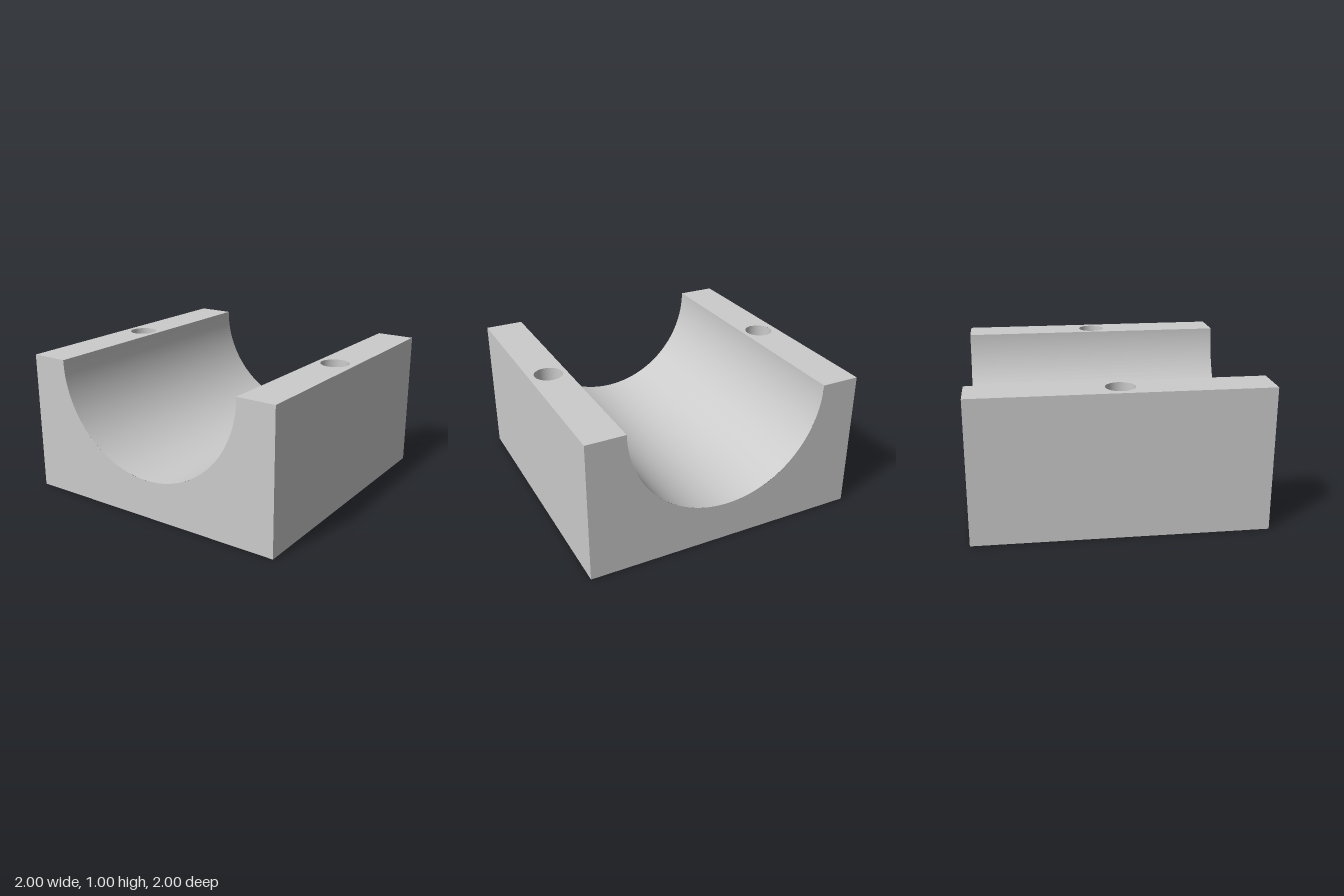
import * as THREE from 'three';

const R = 0.725;        // trough radius
const HOLE_X = 0.857;   // bolt hole offset
const HOLE_R = 0.1;
const H = 1;            // block height
const ARC = 64;

const material = new THREE.MeshStandardMaterial({ color: 0xcccccc });

// Rectangle in x/z with round holes at the given x positions
function plate(x0, x1, holes) {
  const s = new THREE.Shape();
  s.moveTo(x0, -1).lineTo(x1, -1).lineTo(x1, 1).lineTo(x0, 1).closePath();
  for (const x of holes) {
    s.holes.push(new THREE.Path().absarc(x, 0, HOLE_R, 0, Math.PI * 2, true));
  }
  return new THREE.ShapeGeometry(s, 48);
}

// Open cylinder wall facing its own axis
function innerWall(r, top, bottom, segments, start, sweep) {
  const profile = [new THREE.Vector2(r, top), new THREE.Vector2(r, bottom)];
  return new THREE.LatheGeometry(profile, segments, start, sweep);
}

export function createModel() {
  const model = new THREE.Group();
  model.name = 'bearingBlock';
  const add = (name, geometry) => {
    const mesh = new THREE.Mesh(geometry, material);
    mesh.name = name;
    model.add(mesh);
  };

  // End faces with the half-round cutout
  const end = new THREE.Shape();
  end.moveTo(-1, 0).lineTo(1, 0).lineTo(1, H).lineTo(R, H);
  end.absarc(0, H, R, 0, Math.PI, true);
  end.lineTo(-1, H).closePath();
  add('frontFace', new THREE.ShapeGeometry(end, ARC).translate(0, 0, 1));
  add('backFace', new THREE.ShapeGeometry(end, ARC).rotateY(Math.PI).translate(0, 0, -1));

  // Half-round trough along z
  add('trough', innerWall(R, 1, -1, ARC, -Math.PI / 2, Math.PI)
    .rotateX(Math.PI / 2).translate(0, H, 0));

  // Underside with both bolt holes
  add('underside', plate(-1, 1, [-HOLE_X, HOLE_X]).rotateX(Math.PI / 2));

  // Side wall, rail top and bolt hole on each side
  for (const [side, s] of [['left', 1], ['right', -1]]) {
    add(side + 'Side', new THREE.PlaneGeometry(2, H)
      .rotateY(s * Math.PI / 2).translate(s, H / 2, 0));
    add(side + 'RailTop', plate(Math.min(s, s * R), Math.max(s, s * R), [s * HOLE_X])
      .rotateX(-Math.PI / 2).translate(0, H, 0));
    add(side + 'BoltHole', innerWall(HOLE_R, H, 0, 48, 0, Math.PI * 2)
      .translate(s * HOLE_X, 0, 0));
  }

  return model;
}
